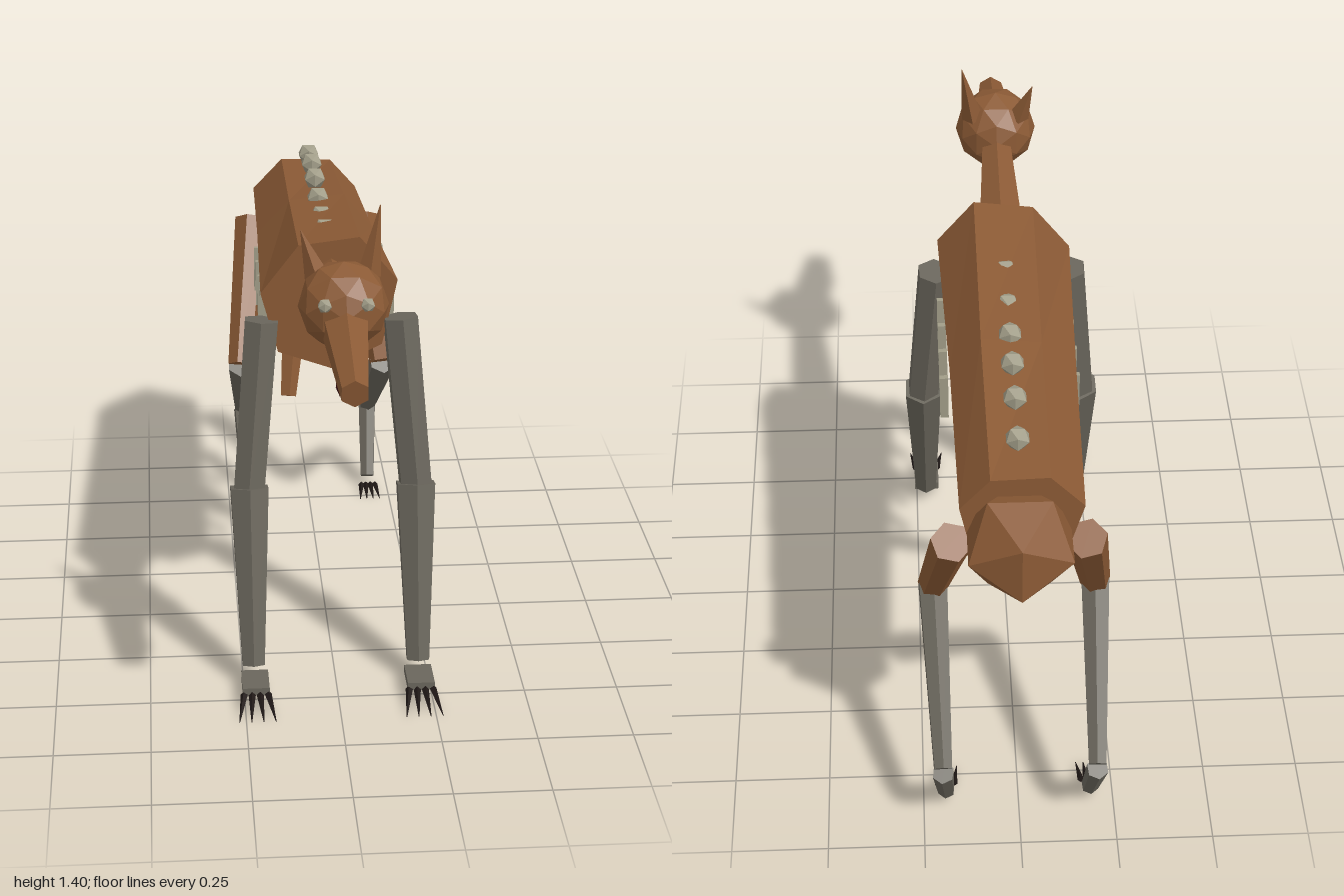
import * as THREE from 'three';

const paint = (name, color) => new THREE.MeshStandardMaterial({ name, color, flatShading: true });
const V = (x, y, z) => new THREE.Vector3(x, y, z);

export function createModel() {
  const model = new THREE.Group();
  model.name = 'gauntHound';
  const hide = paint('brownHide', 0x8b5a35);
  const skin = paint('greySkin', 0x6a665c);
  const bone = paint('paleBone', 0xa19d88);
  const claw = paint('darkClaw', 0x1f1816);
  const mouth = paint('darkMouth', 0x3a1212);

  const add = (name, geometry, material, x = 0, y = 0, z = 0) => {
    const mesh = new THREE.Mesh(geometry, material);
    mesh.name = name;
    mesh.position.set(x, y, z);
    model.add(mesh);
    return mesh;
  };

  // Tapered low-poly segment running from a to b
  const limb = (name, a, b, ra, rb, material, sides = 6) => {
    const mesh = add(name, new THREE.CylinderGeometry(rb, ra, a.distanceTo(b), sides), material);
    mesh.position.copy(a).add(b).multiplyScalar(0.5);
    mesh.quaternion.setFromUnitVectors(V(0, 1, 0), b.clone().sub(a).normalize());
    return mesh;
  };

  // Seven-sided torso lofted through three uneven cross-sections
  const sections = [
    { z: 0.21, p: [[0, 0.835], [0.135, 0.9], [0.175, 1.08], [0.075, 1.2], [-0.085, 1.18], [-0.185, 1.05], [-0.14, 0.885]] },
    { z: -0.33, p: [[0, 0.845], [0.13, 0.91], [0.155, 1.04], [0.075, 1.14], [-0.08, 1.125], [-0.17, 1.03], [-0.135, 0.9]] },
    { z: -0.83, p: [[0, 0.82], [0.12, 0.88], [0.145, 1.0], [0.07, 1.085], [-0.075, 1.09], [-0.16, 1.0], [-0.125, 0.88]] },
  ];
  const positions = [];
  const index = [];
  const n = 7;
  sections.forEach(s => s.p.forEach(([x, y]) => positions.push(x, y, s.z)));
  for (let r = 0; r < 2; r++) {
    for (let i = 0; i < n; i++) {
      const a = r * n + i, b = r * n + (i + 1) % n;
      index.push(a, a + n, b, b, a + n, b + n);
    }
  }
  for (let i = 1; i < n - 1; i++) {
    index.push(0, i, i + 1, 2 * n, 2 * n + i + 1, 2 * n + i);
  }
  const torso = new THREE.BufferGeometry();
  torso.setAttribute('position', new THREE.Float32BufferAttribute(positions, 3));
  torso.setIndex(index);
  torso.computeVertexNormals();
  add('torso', torso, hide);

  // Pelvis, neck and head
  add('pelvis', new THREE.IcosahedronGeometry(0.15, 0), hide, 0, 0.925, -0.873);
  limb('neck', V(0, 1.06, 0.15), V(0, 1.15, 0.56), 0.073, 0.045, hide);
  add('head', new THREE.IcosahedronGeometry(0.112, 1), hide, 0, 1.175, 0.635);
  limb('snout', V(0, 1.145, 0.68), V(0, 1.09, 0.995), 0.064, 0.036, hide);
  add('mouth', new THREE.IcosahedronGeometry(1, 1).scale(0.037, 0.02, 0.095), mouth, 0, 1.062, 0.885);

  // Uneven ears
  limb('leftEar', V(0.066, 1.235, 0.59), V(0.095, 1.405, 0.563), 0.03, 0.001, hide, 4);
  limb('rightEar', V(-0.063, 1.235, 0.59), V(-0.1, 1.345, 0.565), 0.03, 0.001, hide, 4);

  // Vertebrae poking through the back
  [1.134, 1.15, 1.15, 1.138, 1.13, 1.14].forEach((y, i) =>
    add('vertebra', new THREE.IcosahedronGeometry(0.033, 0), bone, 0, y, -0.73 + i * 0.14));

  for (const s of [1, -1]) {
    const side = s > 0 ? 'left' : 'right';
    add(side + 'Eye', new THREE.IcosahedronGeometry(0.019, 0), bone, s * 0.052, 1.208, 0.727);

    // Ribs
    for (const z of [0.045, -0.07, -0.185, -0.3]) {
      add(side + 'Rib', new THREE.BoxGeometry(0.022, 0.127, 0.015), bone, s * 0.17, 0.935, z);
    }

    // Front leg, paw and claws
    limb(side + 'FrontUpperLeg', V(s * 0.183, 0.977, 0.21), V(s * 0.223, 0.515, 0.275), 0.05, 0.047, skin);
    limb(side + 'FrontLowerLeg', V(s * 0.223, 0.525, 0.275), V(s * 0.222, 0.06, 0.405), 0.058, 0.034, skin);
    add(side + 'Paw', new THREE.BoxGeometry(0.072, 0.022, 0.1), skin, s * 0.22, 0.039, 0.47);
    for (let i = 0; i < 4; i++) {
      const t = i - 1.5;
      limb(side + 'FrontClaw', V(s * 0.22 + t * 0.021, 0.031, 0.515), V(s * 0.22 + t * 0.032, 0.006, 0.62), 0.01, 0.001, claw, 4);
    }

    // Hind leg and claws
    limb(side + 'Thigh', V(s * 0.165, 0.9, -0.835), V(s * 0.212, 0.53, -0.575), 0.052, 0.04, hide);
    limb(side + 'Shin', V(s * 0.212, 0.535, -0.575), V(s * 0.198, 0.235, -0.95), 0.042, 0.026, skin);
    limb(side + 'Hock', V(s * 0.198, 0.225, -0.955), V(s * 0.19, 0.035, -0.835), 0.029, 0.023, skin);
    for (let i = 0; i < 4; i++) {
      const t = i - 1.5;
      limb(side + 'HindClaw', V(s * 0.19 + t * 0.014, 0.022, -0.8), V(s * 0.19 + t * 0.02, 0.007, -0.722), 0.009, 0.001, claw, 4);
    }

    // Withered limb hanging under the belly
    limb(side + 'BellyLimb', V(s * 0.06, 0.88, -0.33), V(s * 0.093, 0.585, -0.2), 0.042, 0.023, hide, 5);
  }
  return model;
}
